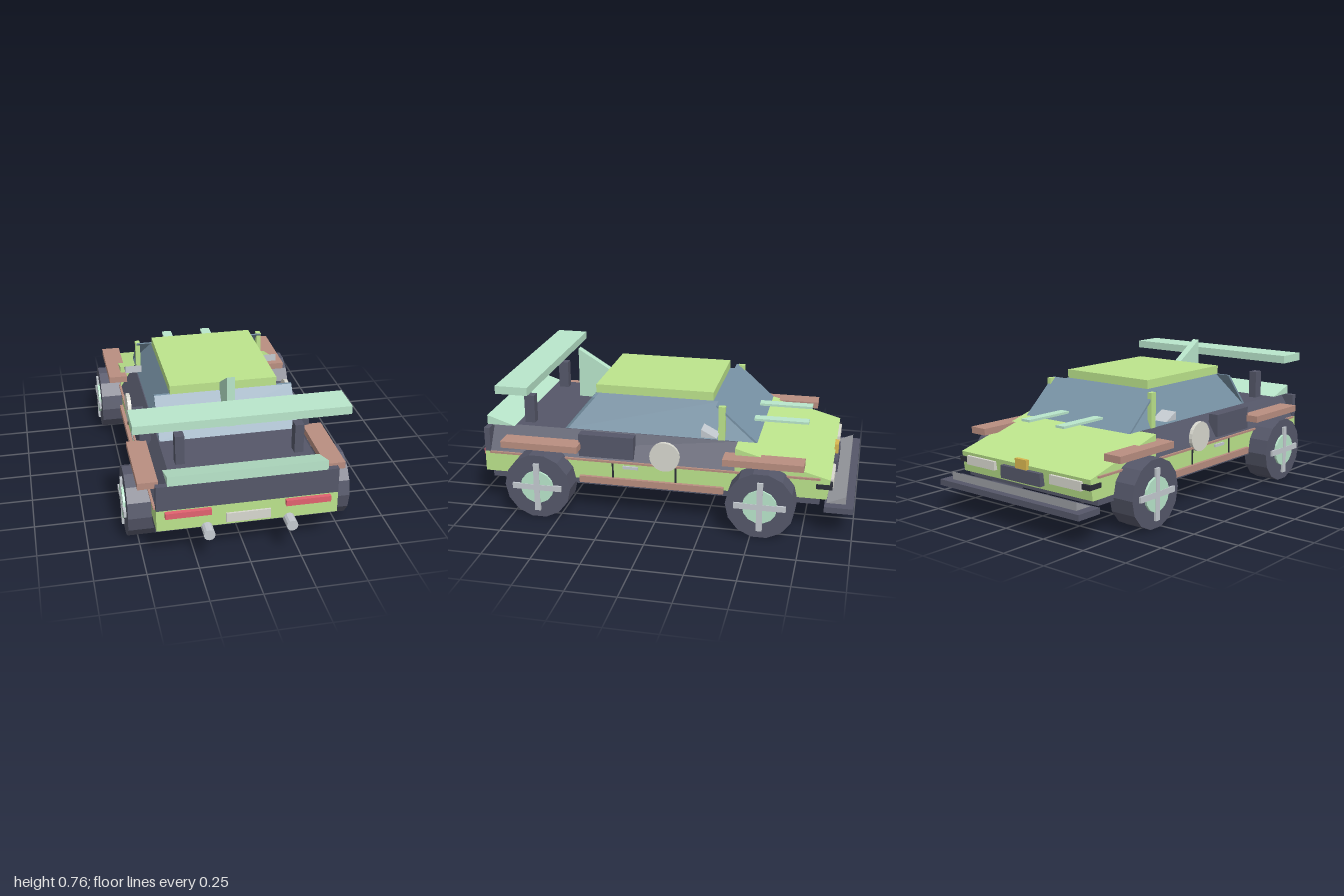
import * as THREE from 'three';

const mat = (color) => new THREE.MeshStandardMaterial({ color, flatShading: true });
const lime = mat(0xbce48c), dark = mat(0x555769), glass = mat(0x7893a6), mint = mat(0xb9e6cb);
const brown = mat(0xb98e80), red = mat(0xe26270), grey = mat(0xc4cad0), pale = mat(0xd8d8cf);
const yellow = mat(0xd9b850), black = mat(0x2c2e38), steel = mat(0x9a9ca2);

export function createModel() {
  const car = new THREE.Group();
  car.name = 'rallyCar';

  const add = (name, geometry, material, parent = car) => {
    const mesh = new THREE.Mesh(geometry, material);
    mesh.name = name;
    parent.add(mesh);
    return mesh;
  };
  // Box given by its ranges along x, y and z
  const box = (name, material, [x0, x1], [y0, y1], [z0, z1]) =>
    add(name, new THREE.BoxGeometry(x1 - x0, y1 - y0, z1 - z0)
      .translate((x0 + x1) / 2, (y0 + y1) / 2, (z0 + z1) / 2), material);
  // The same box on both flanks
  const pair = (name, material, [x0, x1], y, z) => {
    box(name + 'Left', material, [x0, x1], y, z);
    box(name + 'Right', material, [-x1, -x0], y, z);
  };
  // Side profile of [z, y] points, extruded across x
  const profile = (name, material, points, x0, x1) => {
    const shape = new THREE.Shape(points.map(([z, y]) => new THREE.Vector2(z, y)));
    const geometry = new THREE.ExtrudeGeometry(shape, { depth: x1 - x0, bevelEnabled: false });
    return add(name, geometry.rotateY(-Math.PI / 2).translate(x1, 0, 0), material);
  };
  // Box whose top rectangle differs from its bottom one
  const frustum = (name, material, [y0, y1], low, high) => {
    const geometry = new THREE.BoxGeometry(1, 1, 1);
    const p = geometry.attributes.position;
    for (let i = 0; i < p.count; i++) {
      const up = p.getY(i) > 0;
      const [w, zBack, zFront] = up ? high : low;
      p.setXYZ(i, Math.sign(p.getX(i)) * w, up ? y1 : y0, p.getZ(i) > 0 ? zFront : zBack);
    }
    return add(name, geometry, material);
  };

  // Body
  box('floor', dark, [-0.44, 0.44], [0.16, 0.19], [-0.83, 0.89]);
  box('lowerBody', lime, [-0.44, 0.44], [0.19, 0.3], [-0.4, 0.93]);
  profile('hood', lime, [[-0.4, 0.19], [-0.4, 0.425], [-0.88, 0.295], [-0.865, 0.19]], -0.44, 0.44);
  frustum('upperBody', dark, [0.3, 0.43], [0.44, -0.4, 0.92], [0.36, -0.4, 0.92]);
  box('tailPanel', dark, [-0.44, 0.44], [0.3, 0.43], [0.9, 0.93]);

  // Cabin
  frustum('cabin', glass, [0.43, 0.61], [0.355, -0.49, 0.5], [0.275, -0.3, 0.35]);
  profile('windshield', glass, [[-0.5, 0.43], [-0.485, 0.43], [-0.285, 0.61], [-0.3, 0.61]], -0.355, 0.355);
  profile('rearWindow', glass, [[0.51, 0.43], [0.36, 0.61], [0.345, 0.61], [0.495, 0.43]], -0.355, 0.355);
  box('roof', lime, [-0.275, 0.275], [0.61, 0.655], [-0.26, 0.36]);
  pair('windshieldPillar', lime, [0.335, 0.36], [0.43, 0.61], [-0.335, -0.3]);

  // Spoilers and fin
  box('wing', mint, [-0.523, 0.523], [0.655, 0.697], [0.65, 0.82]);
  pair('wingPost', dark, [0.27, 0.315], [0.43, 0.58], [0.69, 0.745]);
  profile('roofFin', mint, [[0.53, 0.76], [0.36, 0.655], [0.36, 0.61], [0.45, 0.49], [0.53, 0.49]], -0.02, 0.02);
  profile('trunkLip', mint, [[0.93, 0.48], [0.78, 0.43], [0.93, 0.43]], -0.385, 0.385);

  // Tail details
  pair('tailLight', red, [0.18, 0.4], [0.265, 0.295], [0.92, 0.952]);
  box('rearPlate', pale, [-0.108, 0.108], [0.205, 0.253], [0.92, 0.94]);
  for (const x of [-0.2, 0.2]) {
    add('exhaust', new THREE.CylinderGeometry(0.028, 0.028, 0.12, 12).rotateX(Math.PI / 2), grey)
      .position.set(x, 0.185, 0.94);
  }

  // Nose details
  box('splitter', dark, [-0.475, 0.475], [0.135, 0.165], [-1, -0.855]);
  profile('splitterWedge', steel, [[-0.96, 0.165], [-0.96, 0.205], [-0.865, 0.165]], -0.425, 0.425);
  pair('headlight', pale, [0.19, 0.39], [0.235, 0.28], [-0.893, -0.86]);
  pair('noseCorner', black, [0.395, 0.445], [0.245, 0.27], [-0.89, -0.81]);
  box('frontPlate', dark, [-0.135, 0.135], [0.21, 0.275], [-0.9, -0.86]);
  box('noseBadge', yellow, [-0.038, 0.038], [0.275, 0.325], [-0.895, -0.875]);
  pair('hoodBar', mint, [0.09, 0.145], [0.467, 0.479], [-0.74, -0.455]);

  // Flanks
  pair('rearFender', brown, [0.41, 0.51], [0.355, 0.39], [0.405, 0.815]);
  pair('frontFender', brown, [0.41, 0.51], [0.355, 0.39], [-0.75, -0.345]);
  pair('sideSkirt', brown, [0.43, 0.458], [0.175, 0.21], [-0.345, 0.41]);
  pair('trimStrip', brown, [0.43, 0.45], [0.293, 0.303], [-0.83, 0.9]);
  pair('sideIntake', dark, [0.385, 0.442], [0.315, 0.435], [0.125, 0.415]);
  pair('doorSeamRear', black, [0.43, 0.444], [0.21, 0.293], [0.23, 0.239]);
  pair('doorSeamFront', black, [0.43, 0.444], [0.21, 0.293], [-0.102, -0.093]);
  pair('doorHandle', grey, [0.43, 0.45], [0.265, 0.28], [0.1, 0.18]);
  for (const side of [-1, 1]) {
    add('doorDisc', new THREE.CylinderGeometry(0.078, 0.078, 0.02, 20).rotateZ(Math.PI / 2), pale)
      .position.set(side * 0.443, 0.35, -0.04);
    const x = side > 0 ? 0.34 : -0.43;
    profile('mirror', grey, [[-0.225, 0.508], [-0.305, 0.467], [-0.225, 0.467]], x, x + 0.09);
  }

  // Wheels with hub and crossed spokes
  for (const side of [-1, 1]) {
    for (const z of [0.607, -0.545]) {
      const wheel = new THREE.Group();
      wheel.name = z > 0 ? 'rearWheel' : 'frontWheel';
      wheel.position.set(side * 0.485, 0.175, z);
      car.add(wheel);
      add('tire', new THREE.CylinderGeometry(0.175, 0.175, 0.14, 14).rotateZ(Math.PI / 2), dark, wheel);
      add('hub', new THREE.CylinderGeometry(0.088, 0.088, 0.03, 14).rotateZ(Math.PI / 2), mint, wheel)
        .position.x = side * 0.067;
      for (const [h, d] of [[0.26, 0.03], [0.03, 0.26]]) {
        add('spoke', new THREE.BoxGeometry(0.012, h, d), grey, wheel).position.x = side * 0.079;
      }
    }
  }
  return car;
}
